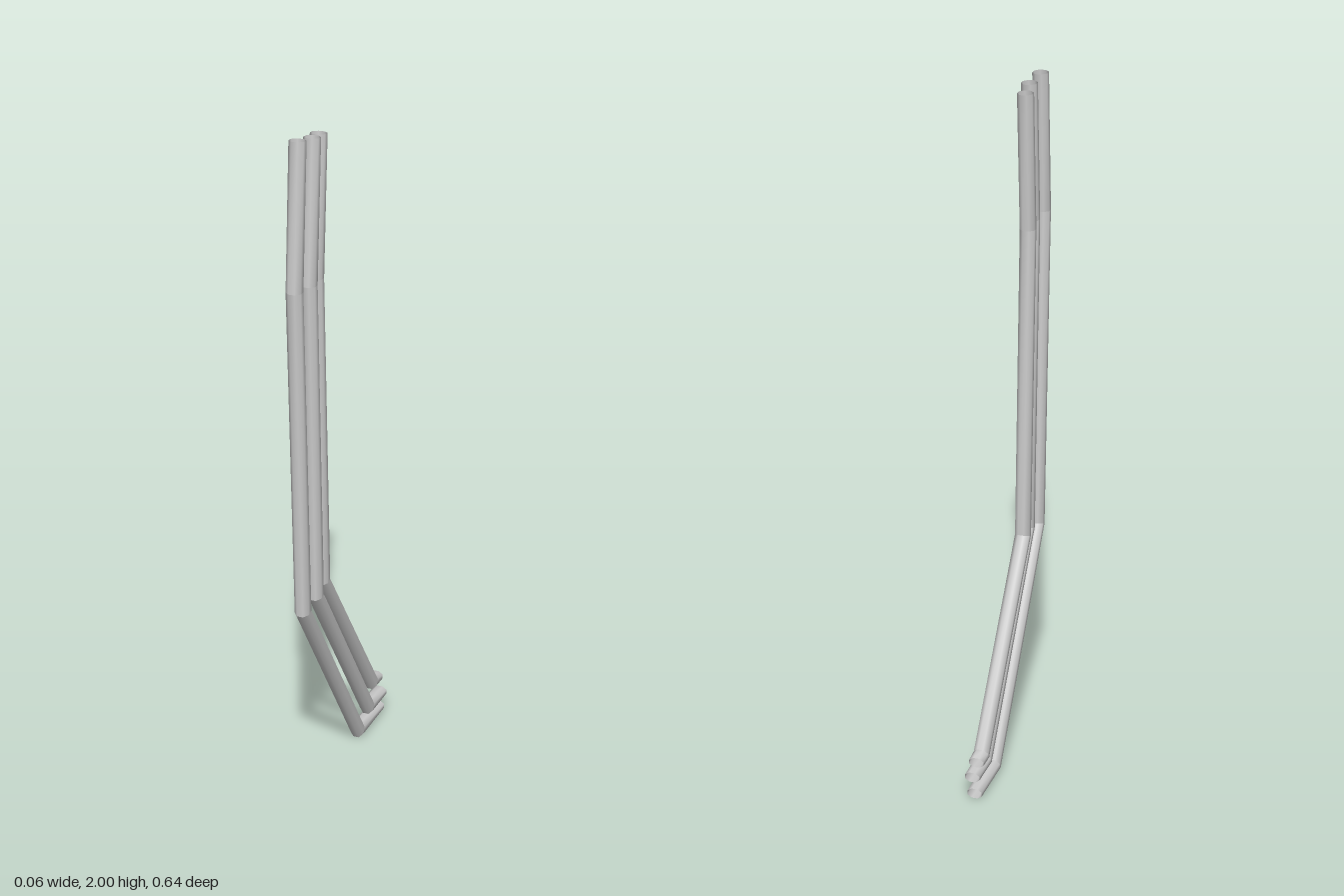
import * as THREE from 'three';

const SIDES = 8;
const RADIUS = 0.0235;
const END_FLATTEN = 0.7; // outlet end is slightly squashed vertically

// Open pipe in a plane of constant x, with mitred joints; points are [y, z]
function bentPipe(x, points) {
  const path = points.map(([y, z]) => new THREE.Vector3(x, y, z));
  const xAxis = new THREE.Vector3(1, 0, 0);
  const dirs = path.slice(1).map((p, i) => p.clone().sub(path[i]).normalize());

  // One eight-sided ring at each end and joint
  const rings = path.map((p, k) => {
    const before = dirs[Math.max(k - 1, 0)];
    const after = dirs[Math.min(k, dirs.length - 1)];
    const tangent = before.clone().add(after).normalize();
    const normal = tangent.clone().cross(xAxis);
    const stretch = k === path.length - 1 ? END_FLATTEN : 1 / tangent.dot(before);
    return Array.from({ length: SIDES }, (_, i) => {
      const a = ((i + 0.5) / SIDES) * Math.PI * 2;
      return p.clone()
        .addScaledVector(xAxis, Math.cos(a) * RADIUS)
        .addScaledVector(normal, Math.sin(a) * RADIUS * stretch);
    });
  });

  // Each straight run keeps its own rings, so joints stay crisp
  const vertices = [];
  const index = [];
  for (let s = 0; s < dirs.length; s++) {
    const base = vertices.length;
    vertices.push(...rings[s], ...rings[s + 1]);
    for (let i = 0; i < SIDES; i++) {
      const a = base + i;
      const b = base + ((i + 1) % SIDES);
      index.push(a, b, b + SIDES, a, b + SIDES, a + SIDES);
    }
  }
  const geometry = new THREE.BufferGeometry().setFromPoints(vertices);
  geometry.setIndex(index);
  geometry.computeVertexNormals();
  return geometry;
}

export function createModel() {
  const group = new THREE.Group();
  group.name = 'pipes';
  const material = new THREE.MeshStandardMaterial({ color: 0xcccccc, side: THREE.DoubleSide });

  // Three nested pipes: top end, upper bend, lower bend, foot bend, outlet
  const pipes = [
    ['frontPipe', -0.002, [[1.996, 0.272], [1.59, 0.299], [0.625, 0.257], [0.022, -0.153], [0.019, -0.32]]],
    ['middlePipe', 0.005, [[1.985, 0.193], [1.585, 0.22], [0.643, 0.183], [0.073, -0.214], [0.071, -0.32]]],
    ['rearPipe', -0.008, [[1.975, 0.119], [1.58, 0.145], [0.653, 0.106], [0.125, -0.275], [0.122, -0.32]]],
  ];
  for (const [name, x, points] of pipes) {
    const mesh = new THREE.Mesh(bentPipe(x, points), material);
    mesh.name = name;
    group.add(mesh);
  }
  return group;
}
